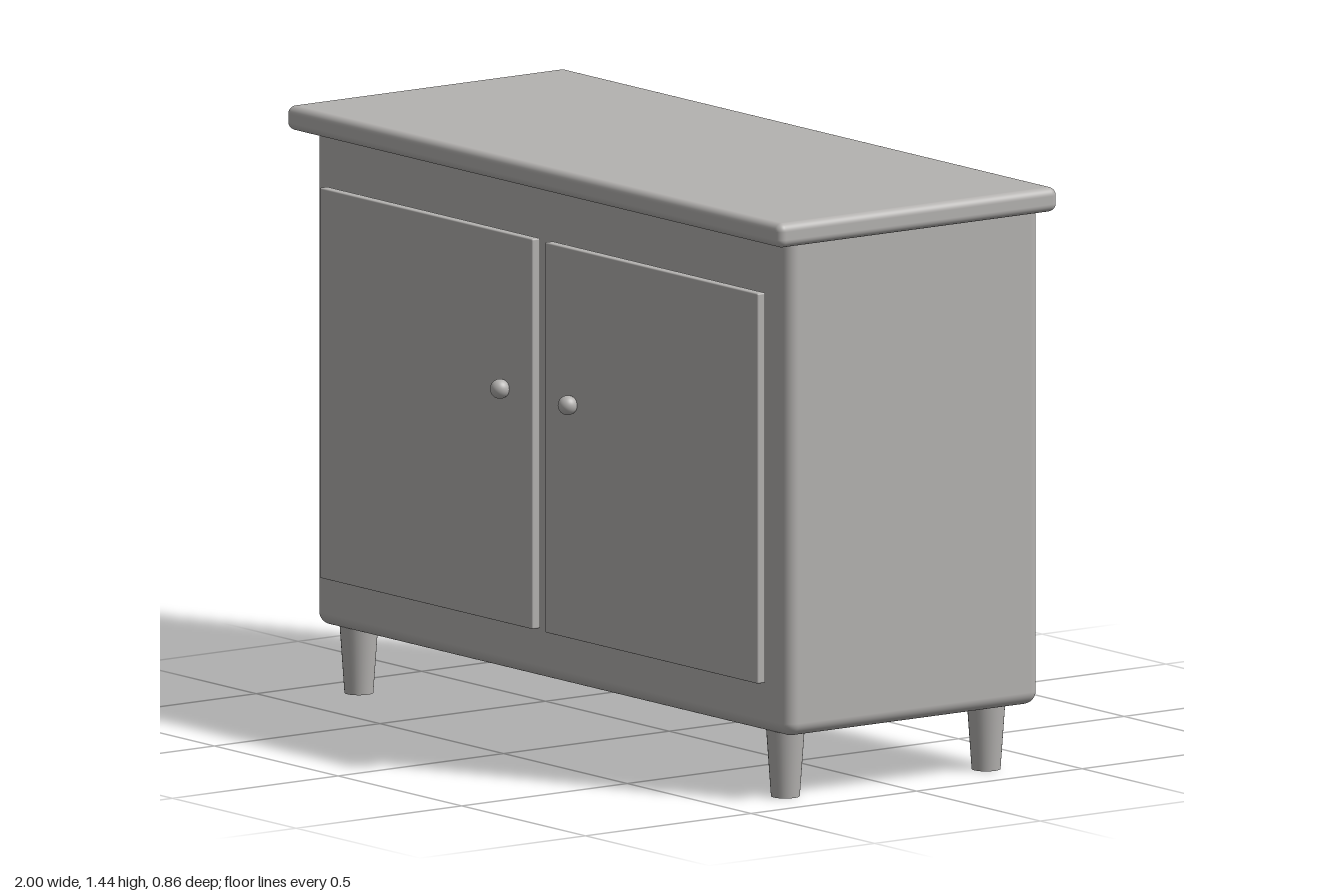
import * as THREE from 'three';
import { RoundedBoxGeometry } from 'three/addons/geometries/RoundedBoxGeometry.js';

export function createModel() {
  const group = new THREE.Group();
  const grey = new THREE.MeshStandardMaterial({ color: 0xb4b2b0 });
  grey.name = 'grey';

  function add(name, geometry, x, y, z) {
    const mesh = new THREE.Mesh(geometry, grey);
    mesh.name = name;
    mesh.position.set(x, y, z);
    group.add(mesh);
    return mesh;
  }

  // Rounded box given by its limits on each axis
  function block(name, [x0, x1], [y0, y1], [z0, z1], radius) {
    const geometry = new RoundedBoxGeometry(x1 - x0, y1 - y0, z1 - z0, 5, radius);
    return add(name, geometry, (x0 + x1) / 2, (y0 + y1) / 2, (z0 + z1) / 2);
  }

  // Carcass, its upper rounding hidden inside the overhanging top
  block('cabinetBody', [-0.958, 0.958], [0.163, 1.42], [-0.407, 0.357], 0.032);
  block('tabletop', [-1, 1], [1.378, 1.438], [-0.43, 0.413], 0.02);

  // Doors stand slightly proud of the carcass, each with a round knob
  for (const side of [-1, 1]) {
    const label = side > 0 ? 'left' : 'right';
    const xs = [side * 0.025, side * 0.886].sort((a, b) => a - b);
    block(label + 'Door', xs, [0.29, 1.25], [0.37, 0.395], 0.004);
    add(label + 'Knob', new THREE.SphereGeometry(0.024, 32, 20), side * 0.137, 0.867, 0.409);

    // Tapered legs, sunk a little into the carcass
    for (const [end, z] of [['Front', 0.293], ['Back', -0.313]]) {
      const leg = new THREE.CylinderGeometry(0.047, 0.035, 0.17, 32);
      add(label + end + 'Leg', leg, side * 0.862, 0.085, z);
    }
  }

  return group;
}
